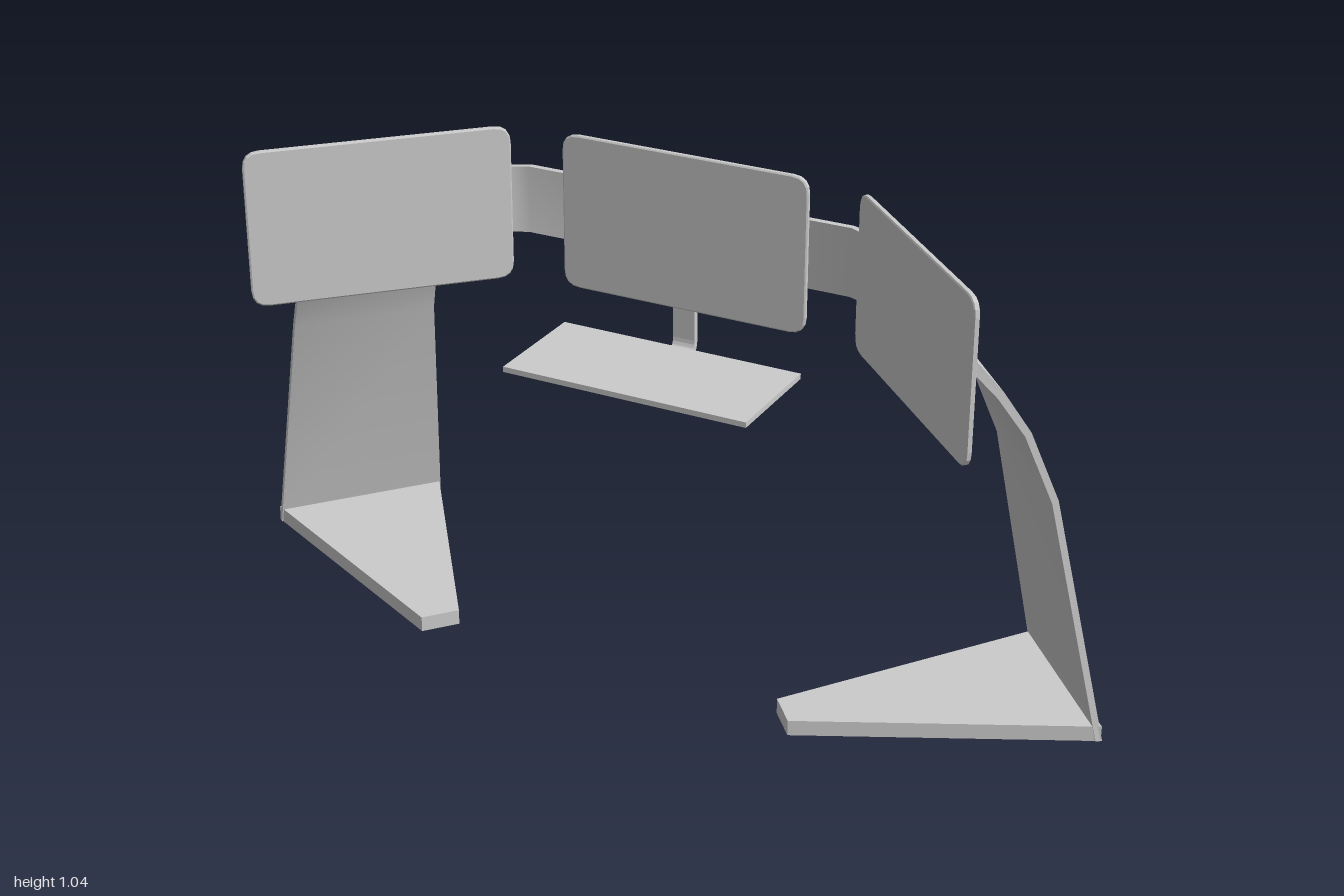
import * as THREE from 'three';
import { toCreasedNormals } from 'three/addons/utils/BufferGeometryUtils.js';

const material = new THREE.MeshStandardMaterial({ color: 0xcccccc });

function addMesh(parent, name, geometry) {
  const mesh = new THREE.Mesh(geometry, material);
  mesh.name = name;
  parent.add(mesh);
  return mesh;
}

// Solid strip through four-cornered cross-sections, wound outwards whichever way it runs
function loft(sections) {
  const quads = [];
  for (let i = 0; i < sections.length - 1; i++) {
    const a = sections[i], b = sections[i + 1];
    for (let j = 0; j < 4; j++) {
      const k = (j + 1) % 4;
      quads.push([a[j], a[k], b[k], b[j]]);
    }
  }
  quads.push([...sections[0]].reverse(), sections[sections.length - 1]);
  let volume = 0;
  const tris = [];
  for (const [a, b, c, d] of quads) {
    for (const t of [[a, b, c], [a, c, d]]) {
      volume += t[0].dot(t[1].clone().cross(t[2]));
      tris.push(t);
    }
  }
  const points = tris.flatMap(t => (volume < 0 ? t.reverse() : t));
  const geometry = new THREE.BufferGeometry().setFromPoints(points);
  return toCreasedNormals(geometry, 0.6);
}

// Thin panel with rounded corners, facing +z
function screenGeometry(w = 0.56, h = 0.34, r = 0.036, t = 0.008) {
  const x = w / 2, y = h / 2;
  const s = new THREE.Shape();
  s.moveTo(-x + r, -y);
  s.lineTo(x - r, -y);
  s.quadraticCurveTo(x, -y, x, -y + r);
  s.lineTo(x, y - r);
  s.quadraticCurveTo(x, y, x - r, y);
  s.lineTo(-x + r, y);
  s.quadraticCurveTo(-x, y, -x, y - r);
  s.lineTo(-x, -y + r);
  s.quadraticCurveTo(-x, -y, -x + r, -y);
  return new THREE.ExtrudeGeometry(s, {
    depth: t, curveSegments: 4, bevelEnabled: true,
    bevelThickness: 0.002, bevelSize: 0.003, bevelOffset: -0.003, bevelSegments: 1,
  }).translate(0, 0, -t / 2);
}

// Support band: back outline of one half as [x, z, half height]
function bandGeometry() {
  const half = [
    [0.37, -0.134, 0.074], [0.41, -0.117, 0.073], [0.48, -0.066, 0.069],
    [0.55, 0.0, 0.066], [0.63, 0.095, 0.064], [0.718, 0.2, 0.063],
  ];
  const path = [...half.map(([x, z, h]) => [-x, z, h]).reverse(), ...half];
  const thick = 0.014, mid = 0.872;
  return loft(path.map(([x, z, h], i) => {
    const p = path[Math.max(i - 1, 0)], q = path[Math.min(i + 1, path.length - 1)];
    const n = new THREE.Vector2(-(q[1] - p[1]), q[0] - p[0]).normalize().multiplyScalar(thick);
    return [
      new THREE.Vector3(x, mid - h, z), new THREE.Vector3(x, mid + h, z),
      new THREE.Vector3(x + n.x, mid + h, z + n.y), new THREE.Vector3(x + n.x, mid - h, z + n.y),
    ];
  }));
}

// Point in the slanted frame of a leg: u runs inwards, w across its width
function legPoint(side, u, y, w) {
  return new THREE.Vector3(
    side * (0.875 - 0.768 * u + 0.646 * w), y, -0.157 + 0.64 * u + 0.763 * w);
}

function legGeometry(side) {
  // outer u, outer y, inner u, inner y, half width
  const rows = [
    [0, 0, 0.014, 0, 0.193], [0.118, 0.54, 0.131, 0.535, 0.16],
    [0.181, 0.69, 0.193, 0.682, 0.155], [0.237, 0.775, 0.249, 0.763, 0.146],
    [0.29, 0.838, 0.302, 0.822, 0.137], [0.35, 0.897, 0.35, 0.872, 0.125],
  ];
  return loft(rows.map(([uo, yo, ui, yi, w]) => [
    legPoint(side, uo, yo, -w), legPoint(side, uo, yo, w),
    legPoint(side, ui, yi, w), legPoint(side, ui, yi, -w),
  ]));
}

function footGeometry(side) {
  const rows = [[0.003, 0.193], [0.61, 0.042]];
  return loft(rows.map(([u, w]) => [
    legPoint(side, u, 0, -w), legPoint(side, u, 0, w),
    legPoint(side, u, 0.034, w), legPoint(side, u, 0.034, -w),
  ]));
}

// Strap that drops from the band and bends forward under the shelf
function bracketGeometry() {
  const width = 0.05;
  const s = new THREE.Shape();
  s.moveTo(-0.129, 0.8);
  s.lineTo(-0.129, 0.63);
  s.quadraticCurveTo(-0.129, 0.592, -0.09, 0.592);
  s.lineTo(0.0, 0.592);
  s.lineTo(0.0, 0.606);
  s.lineTo(-0.09, 0.606);
  s.quadraticCurveTo(-0.115, 0.606, -0.115, 0.63);
  s.lineTo(-0.115, 0.8);
  s.closePath();
  return new THREE.ExtrudeGeometry(s, { depth: width, bevelEnabled: false, curveSegments: 5 })
    .translate(0, 0, -width / 2).rotateY(-Math.PI / 2);
}

export function createModel() {
  const model = new THREE.Group();
  model.name = 'tripleScreenStand';

  // Screens
  const panel = screenGeometry();
  addMesh(model, 'centreScreen', panel).position.set(0, 0.87, -0.111);
  for (const [side, label] of [[1, 'left'], [-1, 'right']]) {
    const screen = addMesh(model, label + 'Screen', panel);
    screen.position.set(side * 0.598, 0.87, 0.101);
    screen.rotation.y = -side * Math.PI / 4;

    // Legs and feet
    addMesh(model, label + 'Leg', legGeometry(side));
    addMesh(model, label + 'Foot', footGeometry(side));
  }

  // Band, bracket and keyboard shelf
  addMesh(model, 'supportBand', bandGeometry());
  addMesh(model, 'shelfBracket', bracketGeometry());
  addMesh(model, 'keyboardShelf', new THREE.BoxGeometry(0.555, 0.012, 0.255))
    .position.set(0, 0.611, 0.029);

  return model;
}
